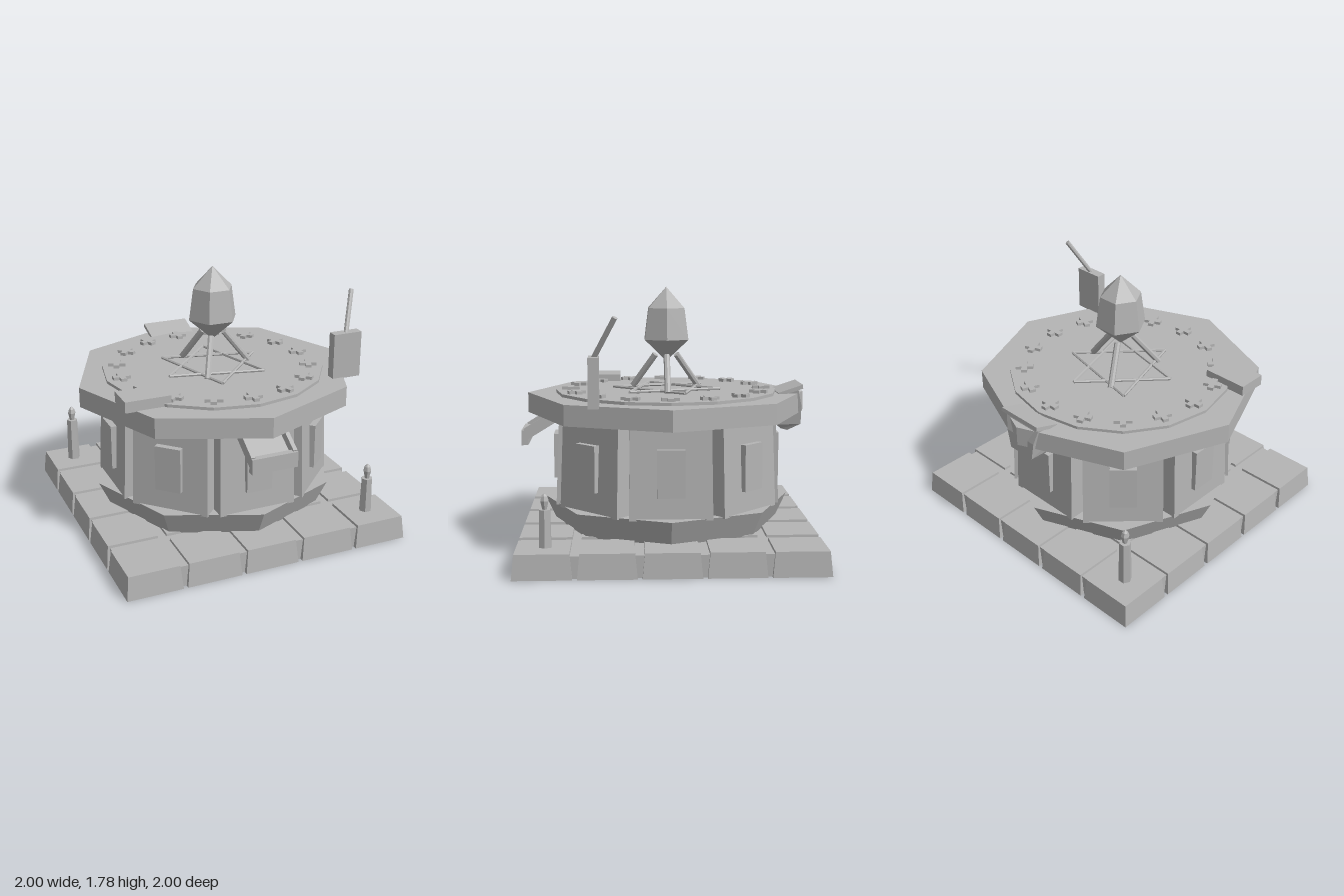
import * as THREE from 'three';

const stone = new THREE.MeshStandardMaterial({ color: 0xb4b4b4, flatShading: true });
stone.name = 'grey stone';

export function createModel() {
  const root = new THREE.Group();
  root.name = 'shrine';

  const add = (name, geometry, x = 0, y = 0, z = 0, parent = root) => {
    const mesh = new THREE.Mesh(geometry, stone);
    mesh.name = name;
    mesh.position.set(x, y, z);
    parent.add(mesh);
    return mesh;
  };
  // box given by its limits
  const block = (name, x0, x1, y0, y1, z0, z1, parent = root) =>
    add(name, new THREE.BoxGeometry(x1 - x0, y1 - y0, z1 - z0),
      (x0 + x1) / 2, (y0 + y1) / 2, (z0 + z1) / 2, parent);
  // rod between two points
  const rod = (name, a, b, radius, sides = 8, parent = root) => {
    const p = new THREE.Vector3(...a), q = new THREE.Vector3(...b);
    const mesh = add(name, new THREE.CylinderGeometry(radius, radius, p.distanceTo(q), sides), 0, 0, 0, parent);
    mesh.position.copy(p).lerp(q, 0.5);
    mesh.quaternion.setFromUnitVectors(new THREE.Vector3(0, 1, 0), q.sub(p).normalize());
    return mesh;
  };
  // side profile of [z, y] points, extruded across x
  const sideProfile = (name, points, width, x = 0) => {
    const shape = new THREE.Shape(points.map(p => new THREE.Vector2(...p)));
    const geometry = new THREE.ExtrudeGeometry(shape, { depth: width, bevelEnabled: false });
    geometry.translate(0, 0, -width / 2).rotateY(-Math.PI / 2);
    return add(name, geometry, x);
  };
  // six-sided turned gem from [radius, y] points
  const gem = (points) => new THREE.LatheGeometry(
    points.map(p => new THREE.Vector2(...p)), 6, Math.PI / 6);

  // Paved base: core slab and 5 x 5 slightly tapered tiles
  block('baseCore', -0.97, 0.97, 0, 0.145, -0.97, 0.97);
  for (let i = -2; i <= 2; i++) {
    for (let j = -2; j <= 2; j++) {
      const tile = new THREE.CylinderGeometry(0.172 * Math.SQRT2, 0.188 * Math.SQRT2, 0.162, 4);
      tile.rotateY(Math.PI / 4);
      add('pavingTile', tile, i * 0.406, 0.081, j * 0.406);
    }
  }

  // Flared octagonal plinth
  add('plinth', new THREE.CylinderGeometry(0.855, 0.775, 0.17, 8), 0, 0.235, 0);

  // Eight leaning wall panels, each with a raised window plate
  for (let i = 0; i < 8; i++) {
    const bay = new THREE.Group();
    bay.name = 'wallBay';
    bay.rotation.y = i * Math.PI / 4;
    root.add(bay);
    const panel = new THREE.BoxGeometry(0.54, 0.61, 0.12);
    panel.translate(0, 0, 0.7);
    const pos = panel.attributes.position;
    for (let k = 0; k < pos.count; k++) {
      if (pos.getY(k) > 0) pos.setXYZ(k, pos.getX(k) * 0.965, pos.getY(k), pos.getZ(k) * 0.967);
    }
    panel.computeVertexNormals();
    add('wallPanel', panel, 0, 0.615, 0, bay);
    block('window', -0.09, 0.09, 0.46, 0.77, 0.72, 0.783, bay);
  }

  // Roof slab and dial
  add('roof', new THREE.CylinderGeometry(0.963, 0.963, 0.138, 8), 0, 0.981, 0);
  add('dial', new THREE.CylinderGeometry(0.768, 0.768, 0.03, 16), 0, 1.055, 0);

  // Ring of sixteen crosses
  const a = 0.02, b = 0.06;
  const crossShape = new THREE.Shape([
    [a, a], [a, b], [-a, b], [-a, a], [-b, a], [-b, -a],
    [-a, -a], [-a, -b], [a, -b], [a, -a], [b, -a], [b, a],
  ].map(p => new THREE.Vector2(...p)));
  const crossGeometry = new THREE.ExtrudeGeometry(crossShape, { depth: 0.025, bevelEnabled: false });
  crossGeometry.rotateX(-Math.PI / 2);
  for (let i = 0; i < 16; i++) {
    const t = i * Math.PI / 8;
    add('cross', crossGeometry, Math.sin(t) * 0.665, 1.066, Math.cos(t) * 0.665).rotation.y = t;
  }

  // Six-pointed frame of thin rods
  const starPoint = i => {
    const t = 0.225 + i * Math.PI / 3;
    return [Math.sin(t) * 0.377, 1.08, -Math.cos(t) * 0.377];
  };
  for (let i = 0; i < 6; i++) rod('starRod', starPoint(i), starPoint(i + 2), 0.011, 6);

  // Tripod and crystal
  for (let i = 0; i < 3; i++) {
    const t = i * Math.PI * 2 / 3, c = Math.cos(t), s = Math.sin(t);
    rod('tripodLeg', [c * 0.275, 1.07, s * 0.275], [c * 0.085, 1.31, s * 0.085], 0.022);
  }
  add('crystal', gem([[0, 1.265], [0.173, 1.418], [0.142, 1.635], [0, 1.78]]));

  // Corner candles
  for (const [x, z, top] of [[-0.81, -0.805, 0.475], [0.805, 0.8, 0.405]]) {
    const wax = new THREE.CylinderGeometry(0.039, 0.045, top - 0.155, 6);
    wax.rotateY(Math.PI / 6);
    add('candle', wax, x, (top + 0.155) / 2, z);
    add('flame', gem([[0, -0.01], [0.016, 0], [0.029, 0.055], [0.02, 0.085], [0, 0.105]]), x, top, z);
  }

  // Roof boxes and lever
  block('leverBox', 0.665, 0.872, 1.045, 1.362, 0.453, 0.52);
  rod('lever', [0.77, 1.35, 0.487], [0.877, 1.61, 0.35], 0.017);
  block('flatBox', -0.818, -0.507, 1.045, 1.12, 0.32, 0.525);

  // Front chute: sloping floor, side rails and lip
  sideProfile('chuteFloor', [[0.96, 0.74], [0.96, 0.765], [0.72, 0.912], [0.72, 0.887]], 0.3);
  for (const side of [-1, 1]) {
    sideProfile('chuteRail', [[0.96, 0.74], [0.985, 0.815], [0.78, 0.942], [0.74, 0.88]], 0.028, side * 0.146);
  }
  block('chuteLip', -0.16, 0.16, 0.703, 0.807, 0.955, 1.0);

  // Rear hopper: tapered bucket lofted from rings of half width, inner z/y, outer z/y
  const rings = [
    [0.155, -0.78, 1.055, -0.905, 1.085],
    [0.125, -0.77, 0.92, -0.935, 0.96],
    [0.1, -0.765, 0.825, -0.935, 0.83],
    [0.07, -0.8, 0.795, -0.845, 0.783],
  ];
  const verts = [], index = [];
  for (const [w, zi, yi, zo, yo] of rings) {
    verts.push(-w, yi, zi, w, yi, zi, w, yo, zo, -w, yo, zo);
  }
  for (let r = 0; r < rings.length - 1; r++) {
    for (let k = 0; k < 4; k++) {
      const p = r * 4 + k, q = r * 4 + (k + 1) % 4;
      index.push(p, p + 4, q, q, p + 4, q + 4);
    }
  }
  const e = (rings.length - 1) * 4;
  index.push(0, 1, 2, 0, 2, 3, e, e + 2, e + 1, e, e + 3, e + 2);
  const hopper = new THREE.BufferGeometry();
  hopper.setAttribute('position', new THREE.Float32BufferAttribute(verts, 3));
  hopper.setIndex(index);
  hopper.computeVertexNormals();
  add('hopper', hopper);
  sideProfile('hopperLid', [[-0.765, 1.03], [-0.765, 1.056], [-0.935, 1.113], [-0.938, 1.085]], 0.335);

  return root;
}
